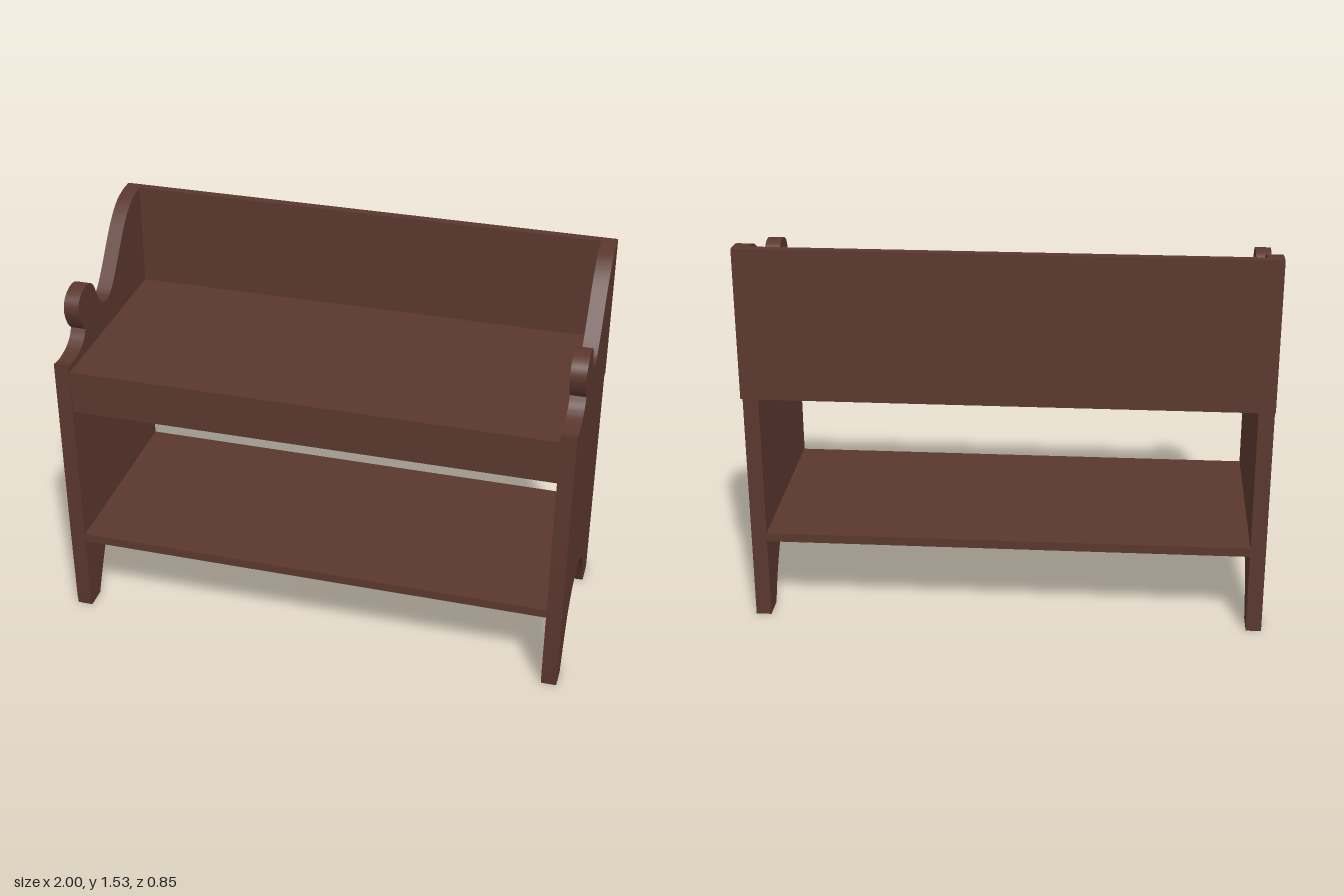
import * as THREE from 'three';
import { toCreasedNormals } from 'three/addons/utils/BufferGeometryUtils.js';

const THICK = 0.06;
const FRONT = 0.42;
const BACK = -0.39;

// Outline of an end panel, drawn as (z, y)
function panelShape() {
  const v = (list) => list.map(([z, y]) => new THREE.Vector2(z, y));
  const s = new THREE.Shape();
  s.moveTo(BACK, 0);
  s.lineTo(-0.29, 0);
  // arch between the feet
  s.splineThru(v([[-0.25, 0.085], [-0.2, 0.16], [-0.15, 0.215], [-0.1, 0.25], [-0.035, 0.275],
    [0.025, 0.28], [0.08, 0.275], [0.14, 0.255], [0.19, 0.225], [0.235, 0.18], [0.31, 0.04], [0.325, 0]]));
  s.lineTo(0.415, 0);
  s.lineTo(0.421, 0.04);
  s.lineTo(0.425, 0.4);
  s.lineTo(0.425, 1.147);
  // front lip
  s.splineThru(v([[0.38, 1.14], [0.31, 1.152], [0.265, 1.178], [0.243, 1.21]]));
  // rounded knob, dip and rising shoulder
  s.splineThru(v([[0.272, 1.243], [0.293, 1.3], [0.28, 1.345], [0.245, 1.37], [0.205, 1.378],
    [0.165, 1.37], [0.135, 1.345], [0.115, 1.305], [0.09, 1.26], [0.06, 1.235], [0.025, 1.226],
    [-0.015, 1.235], [-0.08, 1.295], [-0.2, 1.44], [-0.28, 1.503], [-0.34, 1.524], [BACK, 1.53]]));
  s.closePath();
  return s;
}

export function createModel() {
  const group = new THREE.Group();
  group.name = 'bench';
  const wood = new THREE.MeshStandardMaterial({ color: 0x5a372e });
  wood.name = 'dark brown wood';

  const add = (name, geometry) => {
    const mesh = new THREE.Mesh(geometry, wood);
    mesh.name = name;
    group.add(mesh);
    return mesh;
  };

  // Board given by its half width and its y and z limits
  const board = (name, half, y0, y1, z0, z1) => {
    add(name, new THREE.BoxGeometry(half * 2, y1 - y0, z1 - z0))
      .position.set(0, (y0 + y1) / 2, (z0 + z1) / 2);
  };

  // End panels: extruded along x
  const extruded = new THREE.ExtrudeGeometry(panelShape(), { depth: THICK, bevelEnabled: false, curveSegments: 4 });
  extruded.rotateY(-Math.PI / 2);
  const panel = toCreasedNormals(extruded, 0.5);
  add('leftPanel', panel).position.x = 1;
  add('rightPanel', panel).position.x = -1 + THICK;

  // Boards between the panels, and the backrest across their rear edges
  const inner = 1 - THICK;
  board('seat', inner, 1.08, 1.115, BACK, FRONT);
  board('frontApron', inner, 0.94, 1.08, FRONT - 0.035, FRONT);
  board('shelf', inner, 0.325, 0.36, BACK, FRONT);
  board('backrest', 1, 0.94, 1.53, -0.425, BACK);

  return group;
}
